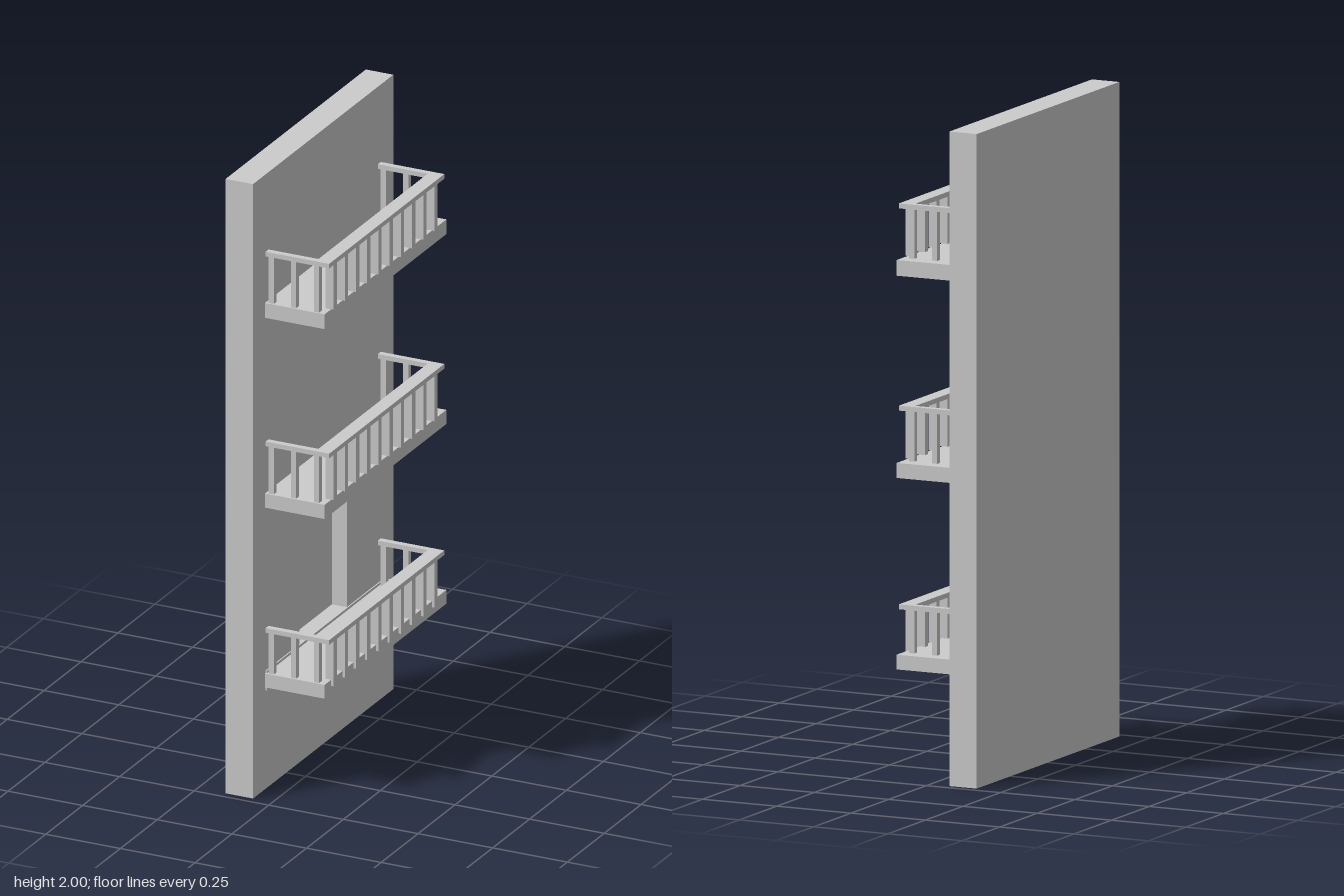
import * as THREE from 'three';

const material = new THREE.MeshStandardMaterial({ color: 0xcccccc, flatShading: true });

// Box given by its extents on each axis
function box(name, x0, x1, y0, y1, z0, z1) {
  const mesh = new THREE.Mesh(new THREE.BoxGeometry(x1 - x0, y1 - y0, z1 - z0), material);
  mesh.position.set((x0 + x1) / 2, (y0 + y1) / 2, (z0 + z1) / 2);
  mesh.name = name;
  return mesh;
}

const WALL_BACK = -0.157, NICHE_BACK = -0.115, WALL_FRONT = -0.065, HALF_WIDTH = 0.475;

// Wall: a solid back layer and a front layer pierced by the pointed doorway
function createWall() {
  const wall = new THREE.Group();
  wall.name = 'wall';
  wall.add(box('wallBack', WALL_BACK, NICHE_BACK, 0, 2, -HALF_WIDTH, HALF_WIDTH));

  const outline = new THREE.Shape([
    [-HALF_WIDTH, 0], [HALF_WIDTH, 0], [HALF_WIDTH, 2], [-HALF_WIDTH, 2],
  ].map(([x, y]) => new THREE.Vector2(x, y)));
  outline.holes.push(new THREE.Path([
    [-0.16, 0.385], [-0.16, 0.877], [0, 0.917], [0.16, 0.877], [0.16, 0.385],
  ].map(([x, y]) => new THREE.Vector2(x, y))));
  const geometry = new THREE.ExtrudeGeometry(outline, { depth: WALL_FRONT - NICHE_BACK, bevelEnabled: false });
  geometry.rotateY(Math.PI / 2);
  geometry.translate(NICHE_BACK, 0, 0);
  const front = new THREE.Mesh(geometry, material);
  front.name = 'wallFrontWithDoorway';
  wall.add(front);

  // Door sill, barely proud of the wall
  wall.add(box('doorSill', NICHE_BACK + 0.01, WALL_FRONT + 0.004, 0.32, 0.385, -0.387, 0.39));
  return wall;
}

// Balcony: slab, three rails and their balusters
function createBalcony(slabBottom, slabTop, railTop, frontFoot) {
  const balcony = new THREE.Group();
  balcony.name = 'balcony';
  const railBottom = railTop - 0.015;
  balcony.add(box('slab', WALL_FRONT, 0.135, slabBottom, slabTop, -0.43, 0.395));
  balcony.add(box('frontRail', 0.102, 0.148, railBottom, railTop, -0.39, 0.39));

  for (let i = 0; i < 10; i++) {
    const z = 0.339 - i * 0.0759;
    balcony.add(box('frontBaluster', 0.116, 0.143, frontFoot, railBottom, z - 0.011, z + 0.011));
  }
  for (const side of [-1, 1]) {
    const z0 = side * 0.38 - 0.01, z1 = side * 0.38 + 0.01;
    balcony.add(box('sideRail', WALL_FRONT, 0.102, railBottom, railTop, z0, z1));
    for (const x of [-0.047, 0.028, 0.105]) {
      balcony.add(box('sideBaluster', x - 0.009, x + 0.009, slabTop, railBottom, z0 + 0.001, z1 - 0.001));
    }
  }
  return balcony;
}

export function createModel() {
  const model = new THREE.Group();
  model.name = 'balconyWall';
  model.add(createWall());
  // Slab bottom, slab top, rail top, foot of the front balusters
  for (const level of [
    [0.332, 0.377, 0.523, 0.357],
    [0.917, 0.963, 1.13, 0.963],
    [1.535, 1.583, 1.748, 1.583],
  ]) model.add(createBalcony(...level));
  return model;
}
